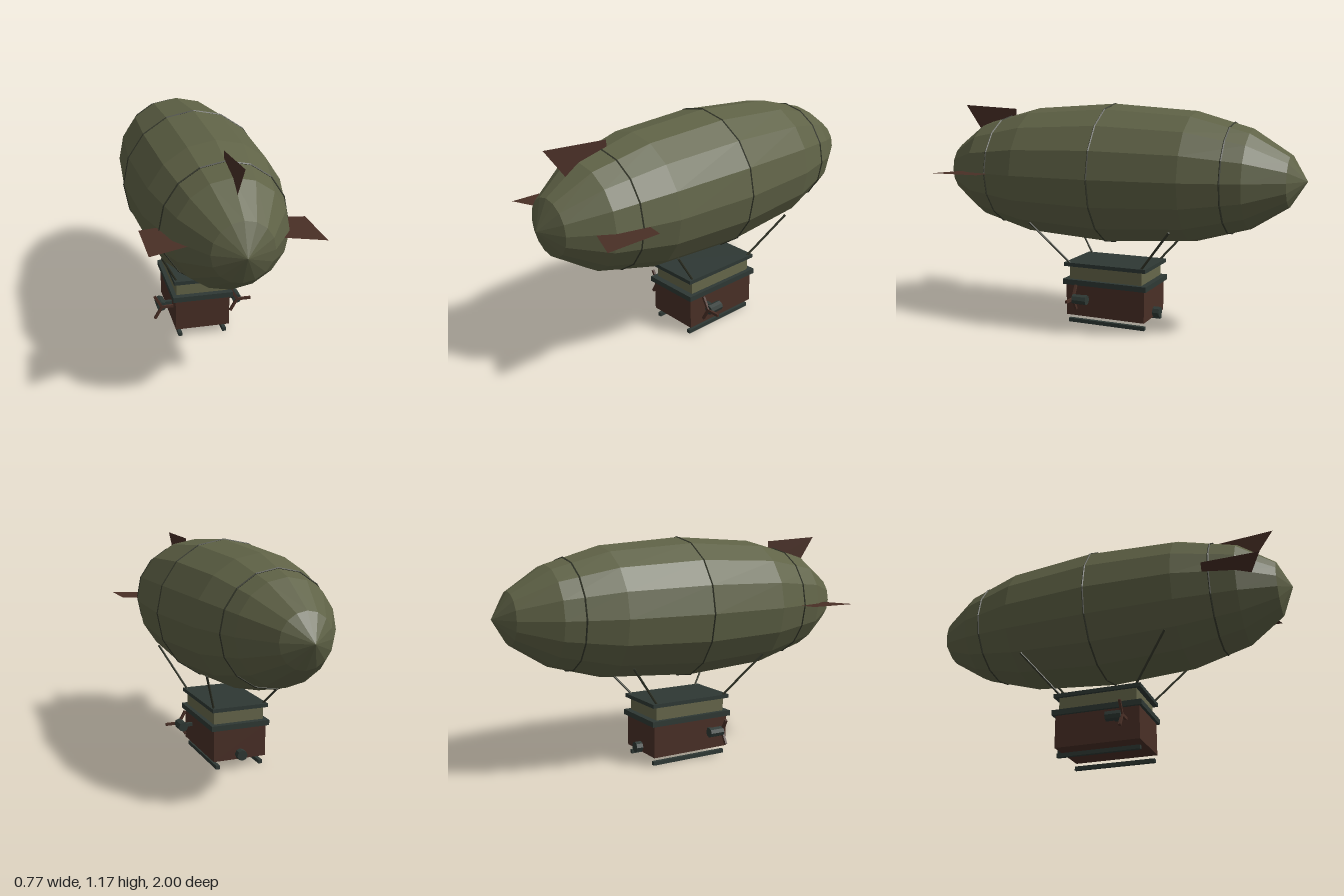
import * as THREE from 'three';

const paint = (name, color, extra = {}) =>
  Object.assign(new THREE.MeshStandardMaterial({ color, flatShading: true, ...extra }), { name });

export function createModel() {
  const olive = paint('envelopeOlive', 0x5f6246);
  const cabinOlive = paint('cabinOlive', 0x65664a);
  const brown = paint('hullBrown', 0x492f26);
  const finBrown = paint('finBrown', 0x492f26, { side: THREE.DoubleSide });
  const teal = paint('darkTeal', 0x2e3834);
  const rope = paint('darkOlive', 0x34372a);

  const model = new THREE.Group();
  model.name = 'airship';

  const add = (name, geometry, material, x = 0, y = 0, z = 0, parent = model) => {
    const mesh = new THREE.Mesh(geometry, material);
    mesh.name = name;
    mesh.position.set(x, y, z);
    parent.add(mesh);
    return mesh;
  };
  const box = (name, w, h, d, material, x, y, z, parent) =>
    add(name, new THREE.BoxGeometry(w, h, d), material, x, y, z, parent);

  // Gas envelope: sixteen-sided lathe laid along z
  const axisY = 0.8;
  const profile = [
    [0, -1], [0.128, -0.92], [0.247, -0.735], [0.33, -0.45], [0.365, 0],
    [0.34, 0.45], [0.262, 0.755], [0.14, 0.935], [0, 1],
  ].map(([r, z]) => new THREE.Vector2(r, z));
  add('envelope', new THREE.LatheGeometry(profile, 16).rotateX(Math.PI / 2), olive, 0, axisY, 0);

  // Thin hoops around the envelope
  for (const [z, r] of [[-0.64, 0.276], [0, 0.365], [0.63, 0.295]]) {
    add('hoop', new THREE.TorusGeometry(r, 0.0045, 4, 16), rope, 0, axisY, z);
  }

  // Flat fins: one upright, two level; shape coordinates are (z, distance from axis)
  const fin = (name, points, turn) => {
    const shape = new THREE.Shape(points.map(([z, d]) => new THREE.Vector2(z, d)));
    const geometry = new THREE.ShapeGeometry(shape).rotateY(-Math.PI / 2).rotateZ(turn);
    add(name, geometry, finBrown, 0, axisY, 0);
  };
  fin('topFin', [[0.6, 0.335], [0.93, 0.355], [0.82, 0.2], [0.6, 0.22]], 0);
  for (const side of [-1, 1]) {
    fin('sideFin', [[0.615, 0.385], [0.895, 0.385], [0.82, 0.19], [0.59, 0.24]], -side * Math.PI / 2);
  }

  // Gondola: hull, trim, cabin and roof
  box('hull', 0.29, 0.17, 0.445, brown, 0, 0.13, 0);
  box('trim', 0.32, 0.028, 0.475, teal, 0, 0.227, 0);
  box('cabin', 0.276, 0.07, 0.412, cabinOlive, 0, 0.276, 0);
  box('roof', 0.306, 0.02, 0.464, teal, 0, 0.32, 0);

  // Exhaust at the back of the hull
  add('exhaust', new THREE.CylinderGeometry(0.028, 0.028, 0.05, 8).rotateX(Math.PI / 2),
    teal, 0, 0.073, -0.234);

  // Suspension struts from roof corners to envelope
  const strut = (a, b) => {
    const direction = b.clone().sub(a);
    const mesh = add('strut', new THREE.CylinderGeometry(0.006, 0.006, direction.length(), 6), rope);
    mesh.position.copy(a).add(b).multiplyScalar(0.5);
    mesh.quaternion.setFromUnitVectors(new THREE.Vector3(0, 1, 0), direction.normalize());
  };

  for (const side of [-1, 1]) {
    for (const end of [-1, 1]) {
      strut(new THREE.Vector3(side * 0.135, 0.32, end * 0.198),
        new THREE.Vector3(side * 0.243, 0.548, end * 0.388));
    }

    // Landing skid
    box('skid', 0.02, 0.02, 0.435, teal, side * 0.12, 0.01, 0);

    // Motor with bracket and three-bladed propeller
    const motor = new THREE.Group();
    motor.name = 'motor';
    motor.position.set(side * 0.207, 0.152, 0);
    model.add(motor);
    box('bracket', 0.07, 0.018, 0.02, teal, -side * 0.035, 0, 0.11, motor);
    add('motorBody', new THREE.CylinderGeometry(0.026, 0.026, 0.08, 8).rotateX(Math.PI / 2),
      teal, 0, 0, 0.112, motor);
    for (let i = 0; i < 3; i++) {
      const blade = new THREE.BoxGeometry(0.075, 0.014, 0.012).translate(0.0375, 0, 0);
      add('blade', blade.rotateZ(i * Math.PI * 2 / 3), brown, 0, 0, 0.154, motor);
    }
  }
  return model;
}
